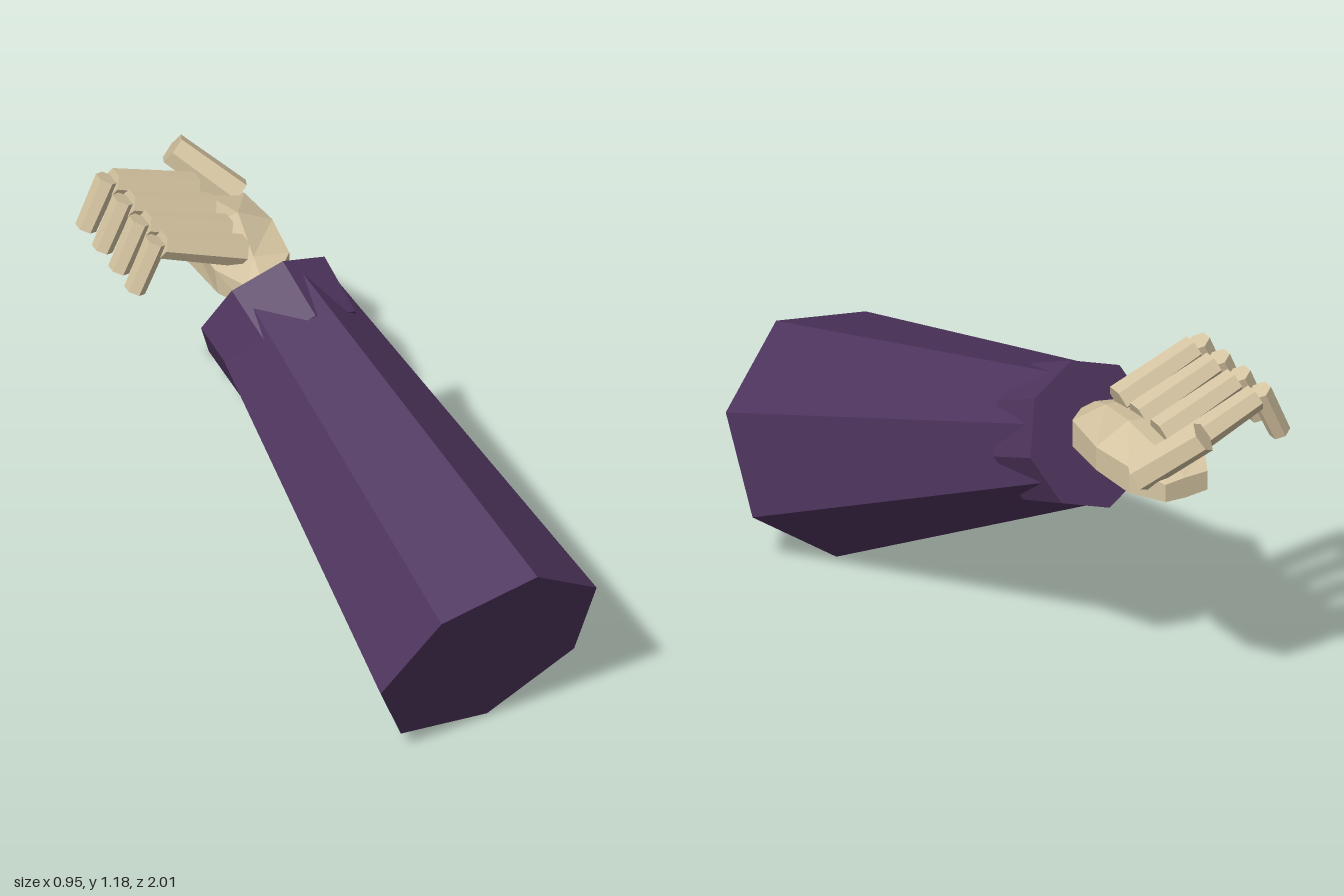
import * as THREE from 'three';

const V = (x, y, z) => new THREE.Vector3(x, y, z);
const sleeveMat = new THREE.MeshStandardMaterial({ color: 0x4f355e, flatShading: true });
const boneMat = new THREE.MeshStandardMaterial({ color: 0xd6c5a2, flatShading: true });

// Faceted prism or frustum between two points; "side" fixes its roll, phase is in degrees
function prism(name, from, to, r0, r1, sides, phase, side, mat) {
  const axis = to.clone().sub(from);
  const geo = new THREE.CylinderGeometry(r1, r0, axis.length(), sides, 1, false, THREE.MathUtils.degToRad(phase));
  axis.normalize();
  const right = side.clone().addScaledVector(axis, -side.dot(axis)).normalize();
  const up = right.clone().cross(axis);
  const mesh = new THREE.Mesh(geo, mat);
  mesh.name = name;
  mesh.quaternion.setFromRotationMatrix(new THREE.Matrix4().makeBasis(right, axis, up));
  mesh.position.copy(from).add(to).multiplyScalar(0.5);
  return mesh;
}

// Closed solid through cross-sections, each counter-clockwise seen from +z, running towards -z
function loft(rings) {
  const n = rings[0].pts.length;
  const pos = rings.flatMap(({ z, pts }) => pts.flatMap(([x, y]) => [x, y, z]));
  const idx = [];
  for (let i = 0; i < rings.length - 1; i++) {
    for (let j = 0; j < n; j++) {
      const a = i * n + j, b = i * n + (j + 1) % n;
      idx.push(a, a + n, b, b, a + n, b + n);
    }
  }
  const last = (rings.length - 1) * n;
  for (let j = 1; j < n - 1; j++) {
    idx.push(0, j, j + 1);
    idx.push(last, last + j + 1, last + j);
  }
  const geo = new THREE.BufferGeometry();
  geo.setAttribute('position', new THREE.Float32BufferAttribute(pos, 3));
  geo.setIndex(idx);
  geo.computeVertexNormals();
  return geo;
}

export function createModel() {
  const model = new THREE.Group();
  model.name = 'sleevedArm';

  // Seven-sided sleeve with an eight-sided cuff on the same axis
  const base = V(0.119, 0.354, 0.856);
  const axis = V(-0.121, 0.392, -0.909).normalize();
  const along = (s) => base.clone().addScaledVector(axis, s);
  const X = V(1, 0, 0), Z = V(0, 0, 1);
  model.add(prism('sleeve', base, along(1.36), 0.387, 0.215, 7, 15.5, X, sleeveMat));
  model.add(prism('cuff', along(1.17), along(1.378), 0.226, 0.236, 8, 3, X, sleeveMat));

  const hand = new THREE.Group();
  hand.name = 'hand';
  model.add(hand);

  // Palm: sections run from wrist to thumb side
  const palm = new THREE.Mesh(loft([
    { z: -0.39, pts: [[-0.07, 0.9], [-0.02, 0.91], [-0.02, 0.99], [-0.07, 1.0], [-0.12, 0.99], [-0.12, 0.91]] },
    { z: -0.47, pts: [[-0.07, 0.89], [0.06, 0.92], [0.06, 1.01], [-0.06, 1.03], [-0.19, 1.02], [-0.18, 0.93]] },
    { z: -0.65, pts: [[-0.07, 0.86], [0.085, 0.93], [0.085, 1.01], [-0.03, 1.07], [-0.2, 1.04], [-0.2, 0.94]] },
    { z: -0.81, pts: [[-0.07, 0.89], [0.065, 0.92], [0.065, 1.01], [-0.05, 1.03], [-0.2, 1.02], [-0.19, 0.93]] },
    { z: -0.915, pts: [[-0.07, 0.915], [0.0, 0.92], [0.0, 0.98], [-0.07, 0.985], [-0.15, 0.985], [-0.15, 0.92]] },
  ]), boneMat);
  palm.name = 'palm';
  hand.add(palm);

  // Four bent fingers, each of two six-sided bones
  for (const z of [-0.495, -0.612, -0.732, -0.852]) {
    const finger = new THREE.Group();
    finger.name = 'finger';
    finger.add(prism('fingerBase', V(-0.09, 1.047, z), V(-0.36, 1.15, z), 0.05, 0.043, 6, 90, Z, boneMat));
    finger.add(prism('fingerTip', V(-0.375, 1.17, z), V(-0.447, 1.005, z), 0.037, 0.034, 6, 90, Z, boneMat));
    hand.add(finger);
  }

  // Thumb
  hand.add(prism('thumb', V(0.05, 0.99, -0.835), V(-0.11, 1.135, -0.955), 0.057, 0.052, 6, 90, Z, boneMat));
  return model;
}
